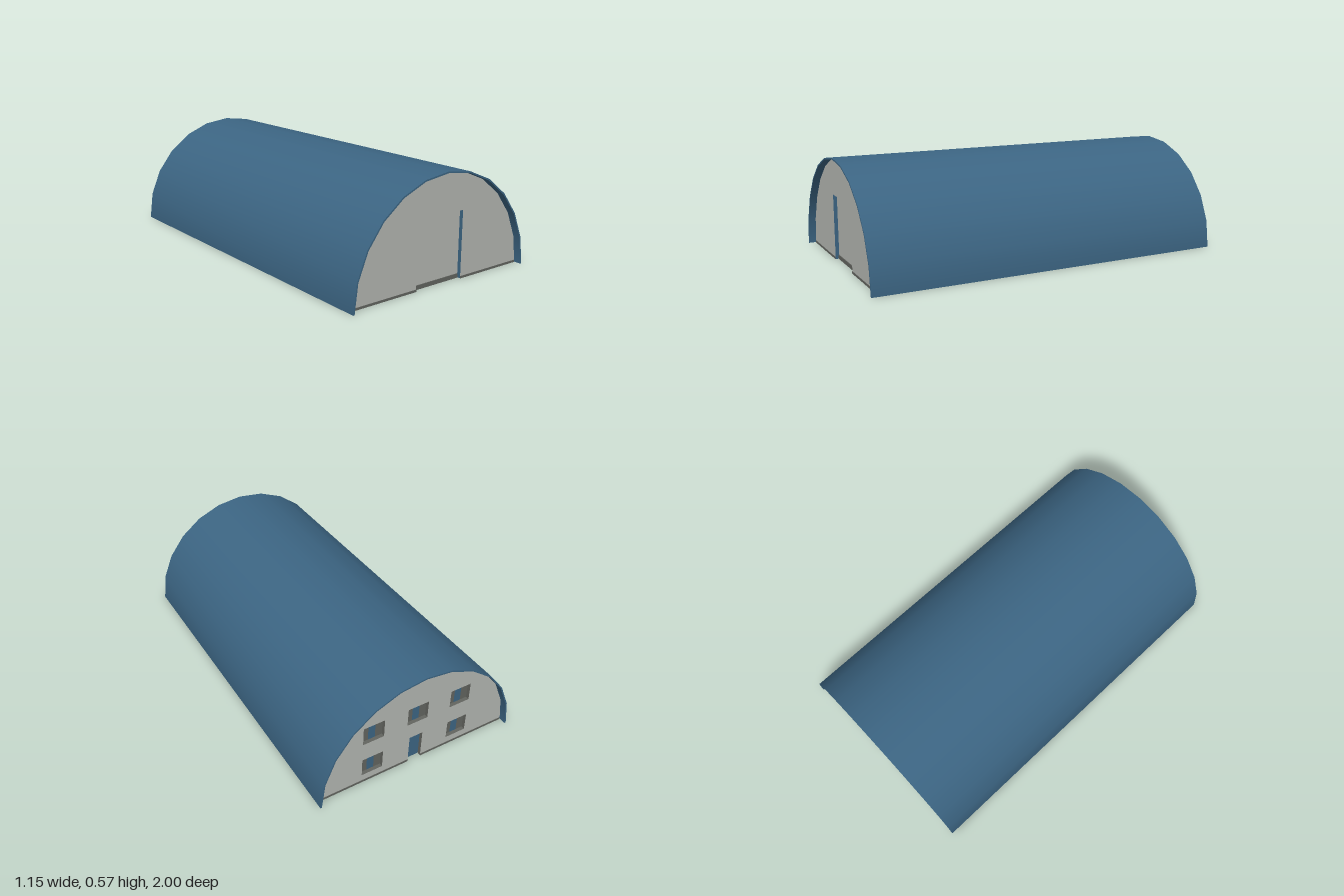
import * as THREE from 'three';

const R = 0.575, INNER = 0.567, SEGMENTS = 12, LENGTH = 2;
const WALL_Z = 0.96, RECESS = 0.02;

export function createModel() {
  const mat = (name, color) => new THREE.MeshStandardMaterial({ name, color, side: THREE.DoubleSide });
  const blue = mat('blue metal', 0x3c6583);
  const grey = mat('pale grey wall', 0xb3b6b1);
  const dark = mat('dark grey trim', 0x62645f);

  const hangar = new THREE.Group();
  hangar.name = 'hangar';
  const add = (parent, name, geometry, material, x = 0, y = 0, z = 0) => {
    const mesh = new THREE.Mesh(geometry, material);
    mesh.name = name;
    mesh.position.set(x, y, z);
    parent.add(mesh);
    return mesh;
  };

  // Thin arched roof: outer and inner skins, end rims and feet
  const roof = new THREE.Group();
  roof.name = 'roof';
  hangar.add(roof);
  const skin = (r) => new THREE.CylinderGeometry(r, r, LENGTH, SEGMENTS, 1, true, Math.PI / 2, Math.PI)
    .rotateX(Math.PI / 2);
  add(roof, 'outerRoof', skin(R), blue);
  add(roof, 'innerRoof', skin(INNER), blue);
  for (const s of [-1, 1]) {
    const rim = new THREE.RingGeometry(INNER, R, SEGMENTS, 1, 0, Math.PI);
    if (s < 0) rim.rotateY(Math.PI);
    add(roof, 'roofRim', rim, blue, 0, 0, s * LENGTH / 2);
    const foot = new THREE.PlaneGeometry(R - INNER, LENGTH).rotateX(Math.PI / 2);
    add(roof, 'roofFoot', foot, blue, s * (R + INNER) / 2, 0, 0);
  }

  // End wall facing +z, with a door notch and window holes
  function endWall(name, door, windows) {
    const wall = new THREE.Group();
    wall.name = name;
    hangar.add(wall);
    const half = door.w / 2;
    const outline = [];
    for (let i = 0; i <= SEGMENTS; i++) {
      const a = Math.PI * i / SEGMENTS;
      outline.push(new THREE.Vector2(INNER * Math.cos(a), INNER * Math.sin(a)));
    }
    for (const [x, y] of [[-half, 0], [-half, door.h], [half, door.h], [half, 0]]) {
      outline.push(new THREE.Vector2(x, y));
    }
    const shape = new THREE.Shape(outline);
    for (const { x, y, w, h } of windows) {
      const l = x - w / 2, r = x + w / 2, b = y - h / 2, t = y + h / 2;
      shape.holes.push(new THREE.Path([[l, b], [l, t], [r, t], [r, b]].map((p) => new THREE.Vector2(...p))));
    }
    add(wall, 'wallPanel', new THREE.ShapeGeometry(shape), grey, 0, 0, WALL_Z);

    // Jambs and lintel running back to a recessed panel
    const reveal = (part, x, y, w, h, material, sill) => {
      const z = WALL_Z - RECESS / 2;
      for (const s of [-1, 1]) {
        add(wall, part + 'Jamb', new THREE.PlaneGeometry(RECESS, h).rotateY(s * -Math.PI / 2), material, x + s * w / 2, y, z);
        if (s > 0 || sill) {
          add(wall, part + (s > 0 ? 'Lintel' : 'Sill'),
            new THREE.PlaneGeometry(w, RECESS).rotateX(s * Math.PI / 2), material, x, y + s * h / 2, z);
        }
      }
    };
    reveal('door', 0, door.h / 2, door.w, door.h, door.jamb, false);
    add(wall, 'door', new THREE.PlaneGeometry(door.w, door.h), door.panel, 0, door.h / 2, WALL_Z - RECESS);

    // Windows: blue centre pane between two dark side sashes
    for (const { x, y, w, h } of windows) {
      reveal('window', x, y, w, h, dark, true);
      [dark, blue, dark].forEach((m, i) => add(wall, i === 1 ? 'windowPane' : 'windowSash',
        new THREE.PlaneGeometry(w / 3, h), m, x + (i - 1) * w / 3, y, WALL_Z - RECESS));
    }

    // Narrow dark strip along the foot of the wall
    const stripWidth = INNER - 0.005 - half;
    for (const s of [-1, 1]) {
      add(wall, 'baseStrip', new THREE.BoxGeometry(stripWidth, 0.012, 0.004), dark,
        s * (half + stripWidth / 2), 0.006, WALL_Z);
    }
    return wall;
  }

  // Front: wide plain grey door in a blue reveal
  const front = endWall('frontWall', { w: 0.304, h: 0.355, panel: grey, jamb: blue }, []);
  add(front, 'doorThreshold', new THREE.BoxGeometry(0.3, 0.022, 0.004), dark, 0, 0.011, WALL_Z - RECESS + 0.002);

  // Back: small blue door and five windows
  const windows = [[-0.257, 0.102], [0.257, 0.102], [-0.257, 0.313], [0, 0.313], [0.257, 0.313]]
    .map(([x, y]) => ({ x, y, w: 0.12, h: 0.105 }));
  const back = endWall('backWall', { w: 0.078, h: 0.165, panel: blue, jamb: dark }, windows);
  back.rotation.y = Math.PI;

  return hangar;
}
